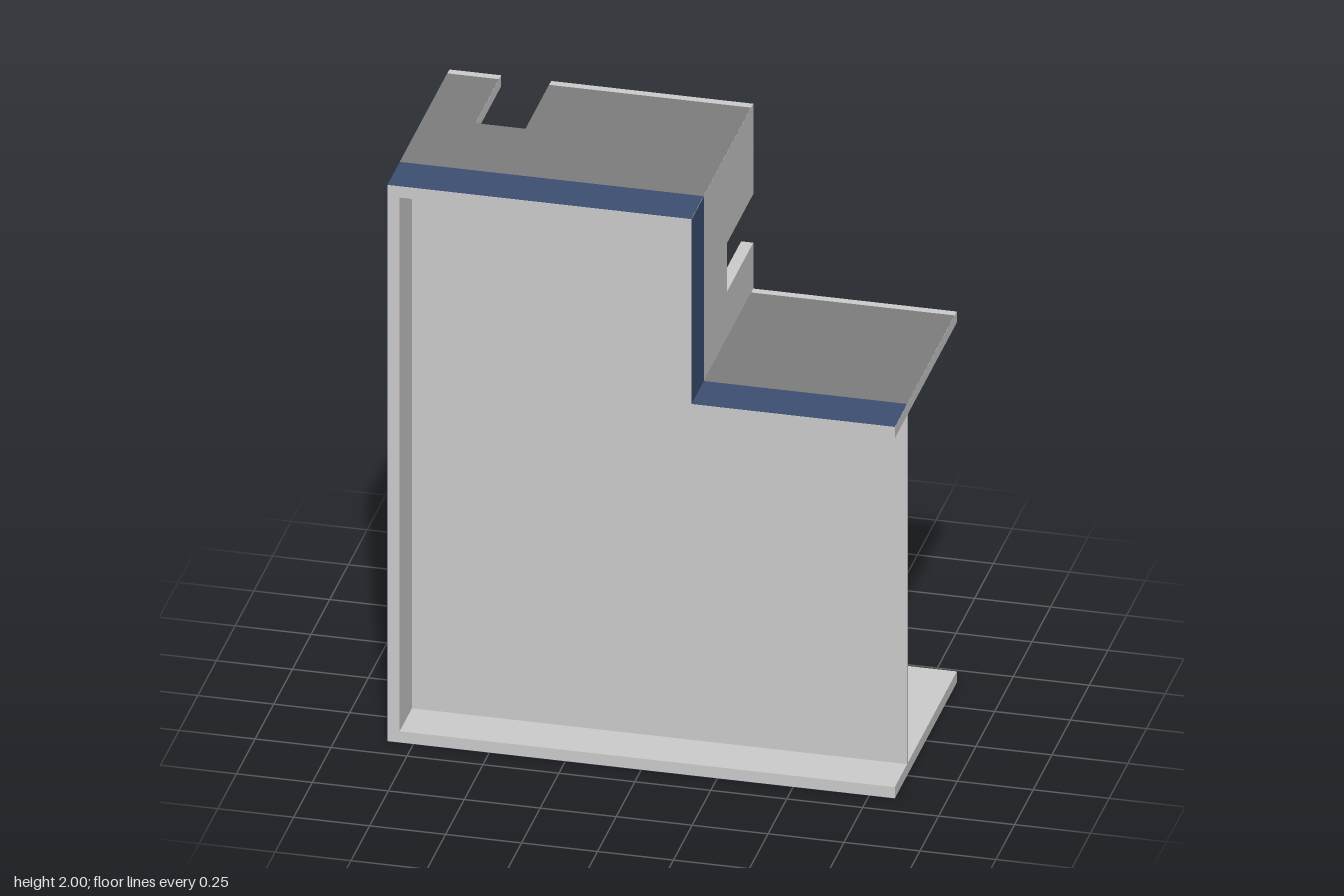
import * as THREE from 'three';

const T = 0.04;                          // wall thickness
const X0 = -0.835, XS = 0.165, X1 = 0.835; // left side, step, right side
const H = 2, HS = 1.335;                 // full height, ledge height
const BACK = -0.415, FRONT = 0.415, SPLIT = 0.25, PAINT_BACK = -0.385;
const SKIN = 0.001;

const grey = new THREE.MeshStandardMaterial({ color: 0xcccccc });
const darkPaint = new THREE.MeshStandardMaterial({ color: 0x7d7d7d, side: THREE.DoubleSide });
const bluePaint = new THREE.MeshStandardMaterial({ color: 0x3d4f72, side: THREE.DoubleSide });

// Rectangle in (u, z), with an optional slot open at the back and an optional window
function panelShape(u0, u1, z0, z1, slot, win) {
  const pts = [[u0, z0]];
  if (slot) pts.push([slot[0], z0], [slot[0], slot[2]], [slot[1], slot[2]], [slot[1], z0]);
  pts.push([u1, z0], [u1, z1], [u0, z1]);
  const shape = new THREE.Shape(pts.map(p => new THREE.Vector2(...p)));
  if (win) {
    const [a, b, c, d] = win;
    shape.holes.push(new THREE.Path([[a, c], [a, d], [b, d], [b, c]].map(p => new THREE.Vector2(...p))));
  }
  return shape;
}

// Upright walls run along y and thicken to +x; flat walls run along x and thicken to -y
function orient(upright, at) {
  const x = new THREE.Vector3(1, 0, 0), y = new THREE.Vector3(0, 1, 0), z = new THREE.Vector3(0, 0, 1);
  const m = new THREE.Matrix4();
  if (upright) m.makeBasis(y, z, x).setPosition(at, 0, 0);
  else m.makeBasis(x, z, y.negate()).setPosition(0, at, 0);
  return m;
}

function makeWall({ name, upright, at, body, skin, far, dark, slot, win }) {
  const wall = new THREE.Group();
  wall.name = name;
  const m = orient(upright, at);
  const add = (part, geo, mat) => {
    const mesh = new THREE.Mesh(geo.applyMatrix4(m), mat);
    mesh.name = part;
    wall.add(mesh);
  };
  add(name + 'Board', new THREE.ExtrudeGeometry(
    panelShape(...body, BACK, FRONT, slot, win), { depth: T, bevelEnabled: false }), grey);
  // Thin paint on the outer face: blue band at the front, dark behind it
  const n = far ? T + SKIN : -SKIN;
  add(name + 'BlueBand', new THREE.ShapeGeometry(
    panelShape(...skin, SPLIT, FRONT)).translate(0, 0, n), bluePaint);
  if (dark) add(name + 'DarkPaint', new THREE.ShapeGeometry(
    panelShape(...skin, PAINT_BACK, SPLIT, slot, win)).translate(0, 0, n), darkPaint);
  return wall;
}

export function createModel() {
  const model = new THREE.Group();
  model.name = 'steppedCasing';

  const walls = [
    { name: 'sideWall', upright: true, at: X0, body: [0, H], skin: [0, H], dark: true,
      win: [0.535, 0.97, -0.25, 0.05] },
    { name: 'topWall', upright: false, at: H, body: [X0 + T, XS - T], skin: [X0, XS], dark: true,
      slot: [-0.665, -0.5, -0.07] },
    { name: 'stepWall', upright: true, at: XS - T, body: [HS - T, H], skin: [HS, H], far: true,
      slot: [1.5, 1.675, -0.065] },
    { name: 'ledge', upright: false, at: HS, body: [XS, X1], skin: [XS, X1], dark: true },
    { name: 'floor', upright: false, at: T, body: [X0 + T, X1], skin: [X0, X1], far: true, dark: true },
  ];
  for (const w of walls) model.add(makeWall(w));

  // Thin L-shaped divider between the front recess and the open back
  const outline = [[X0 + T, T], [X1, T], [X1, HS - T], [XS - T, HS - T], [XS - T, H - T], [X0 + T, H - T]];
  const divider = new THREE.Mesh(new THREE.ExtrudeGeometry(
    new THREE.Shape(outline.map(p => new THREE.Vector2(...p))),
    { depth: 0.012, bevelEnabled: false }).translate(0, 0, SPLIT - 0.012), grey);
  divider.name = 'dividerPanel';
  model.add(divider);

  return model;
}
